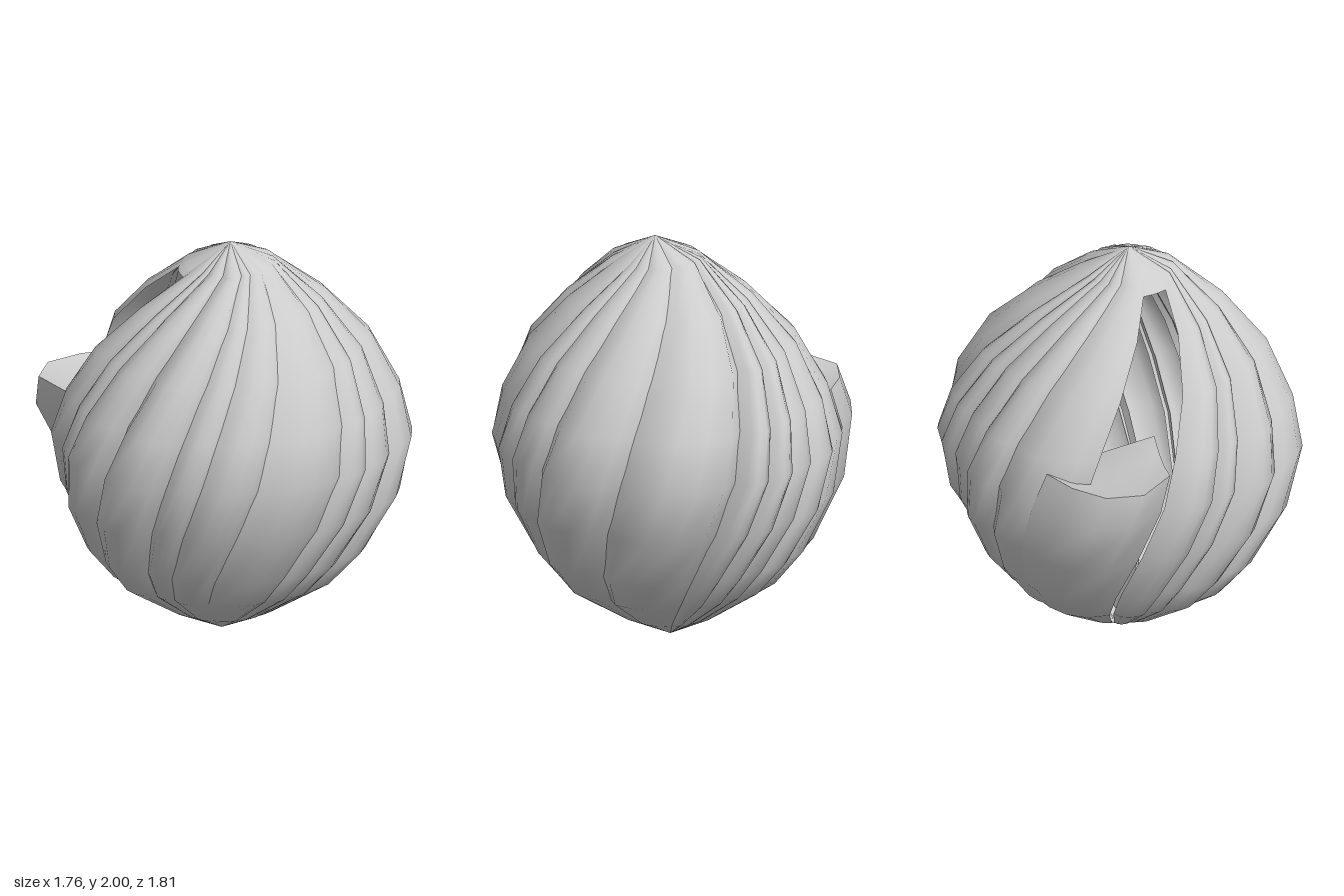
import * as THREE from 'three';

const material = new THREE.MeshStandardMaterial({ color: 0xcccccc, side: THREE.DoubleSide });
const rad = THREE.MathUtils.degToRad;

// Rings of the bud: height, radius, twist in degrees
const rings = [
  [0, 0.004, -25], [0.12, 0.25, -23], [0.31, 0.545, -19], [0.47, 0.68, -15], [0.74, 0.82, -7],
  [1.01, 0.87, 0], [1.24, 0.81, 5], [1.49, 0.675, 12], [1.71, 0.465, 21], [1.9, 0.225, 38], [2, 0.004, 50],
];

// Radius and twist at any height
function ringAt(y) {
  let i = 0;
  while (i < rings.length - 2 && rings[i + 1][0] < y) i++;
  const [a, b] = [rings[i], rings[i + 1]];
  const t = (y - a[0]) / (b[0] - a[0]);
  return { r: a[1] + (b[1] - a[1]) * t, twist: a[2] + (b[2] - a[2]) * t };
}

// Point on the bud at an angle from the front (towards +x), with a radius factor
function budPoint(y, angle, factor) {
  const { r, twist } = ringAt(y);
  const a = rad(angle + twist);
  const cx = -0.02 + 0.03 * Math.sin((Math.PI * y) / 2) - 0.01 * y;
  const cz = 0.03 + 0.035 * y;
  return [cx + Math.sin(a) * r * factor, y, cz + Math.cos(a) * r * factor];
}

// Smooth open sheet from point(row, column)
function sheet(name, rows, cols, point) {
  const positions = [], index = [];
  for (let j = 0; j <= rows; j++) {
    for (let i = 0; i <= cols; i++) {
      positions.push(...point(j, i / cols));
      if (j < rows && i < cols) {
        const a = j * (cols + 1) + i, b = a + cols + 1;
        index.push(a, a + 1, b + 1, a, b + 1, b);
      }
    }
  }
  const geometry = new THREE.BufferGeometry();
  geometry.setAttribute('position', new THREE.Float32BufferAttribute(positions, 3));
  geometry.setIndex(index);
  geometry.computeVertexNormals();
  const mesh = new THREE.Mesh(geometry, material);
  mesh.name = name;
  return mesh;
}

export function createModel() {
  const group = new THREE.Group();
  group.name = 'bud';

  // Whole petals: start angle and radius at the crest; the sides dip into the neighbours
  const petals = [
    [-147, 0.85], [-128, 0.825], [-119, 0.87], [-98, 0.885], [-72, 0.81], [-60, 0.825], [-40, 0.82], [-8, 0.82],
    [5, 0.82], [22, 0.865], [55, 0.885], [97, 0.86], [109, 0.845], [120, 0.81], [133, 0.835], [150, 0.845], [184],
  ];
  const valley = 0.785;
  for (let k = 0; k < petals.length - 1; k++) {
    const [start, crest] = petals[k];
    const width = petals[k + 1][0] - start;
    // The petals beside the opening stop at its rim
    const u0 = k === 0 ? 0 : -0.08;
    const u1 = k === petals.length - 2 ? 1 : 1.08;
    group.add(sheet('petal', rings.length - 1, 5, (j, t) => {
      const u = u0 + (u1 - u0) * t;
      const bulge = 1 - Math.abs(2 * u - 1) ** 3;
      return budPoint(rings[j][0], start + width * u, (valley + (crest - valley) * bulge) / 0.87);
    }));
  }

  // Short tip closing the opening at the top
  const tipHeights = [1.86, 1.9, 2];
  group.add(sheet('petalTip', 2, 3, (j, u) => budPoint(tipHeights[j], 181 + 35 * u, 0.91)));

  // Broken petal: the lower half only, flaring out to an uneven lip
  const heights = [0, 0.12, 0.31, 0.47, 0.74, 1.01, 1.18];
  const lip = [0.98, 1.09, 1.18, 1.15, 0.95];
  const outer = (y, u) => {
    const flare = Math.pow(y / 1.18, 0.7);
    return budPoint(y, 168 + 43 * u, 0.93 + (lip[Math.round(u * 4)] - 0.93) * flare);
  };
  group.add(sheet('brokenPetal', heights.length - 1, 4, (j, u) => outer(heights[j], u)));

  // Broken top, a shelf running inwards from the lip
  const inner = (u) => [0.1 - 0.37 * u, 1.03 + 0.16 * u, -0.3 + 0.06 * u];
  group.add(sheet('brokenPetalTop', 3, 4, (j, u) => {
    const t = j / 3, p = outer(1.18, u), q = inner(u);
    const dip = 0.03 * Math.sin(Math.PI * t);
    return p.map((v, n) => v + (q[n] - v) * t - (n === 1 ? dip : 0));
  }));

  // Inner face of the broken petal, down to the base
  group.add(sheet('brokenPetalInside', 4, 4, (j, u) => {
    const t = j / 4, q = inner(u);
    const s = Math.cos((t * Math.PI) / 2);
    return [-0.02 + (q[0] + 0.02) * s, q[1] * (1 - t) + 0.02 * t, 0.03 + (q[2] - 0.03) * s];
  }));

  return group;
}
